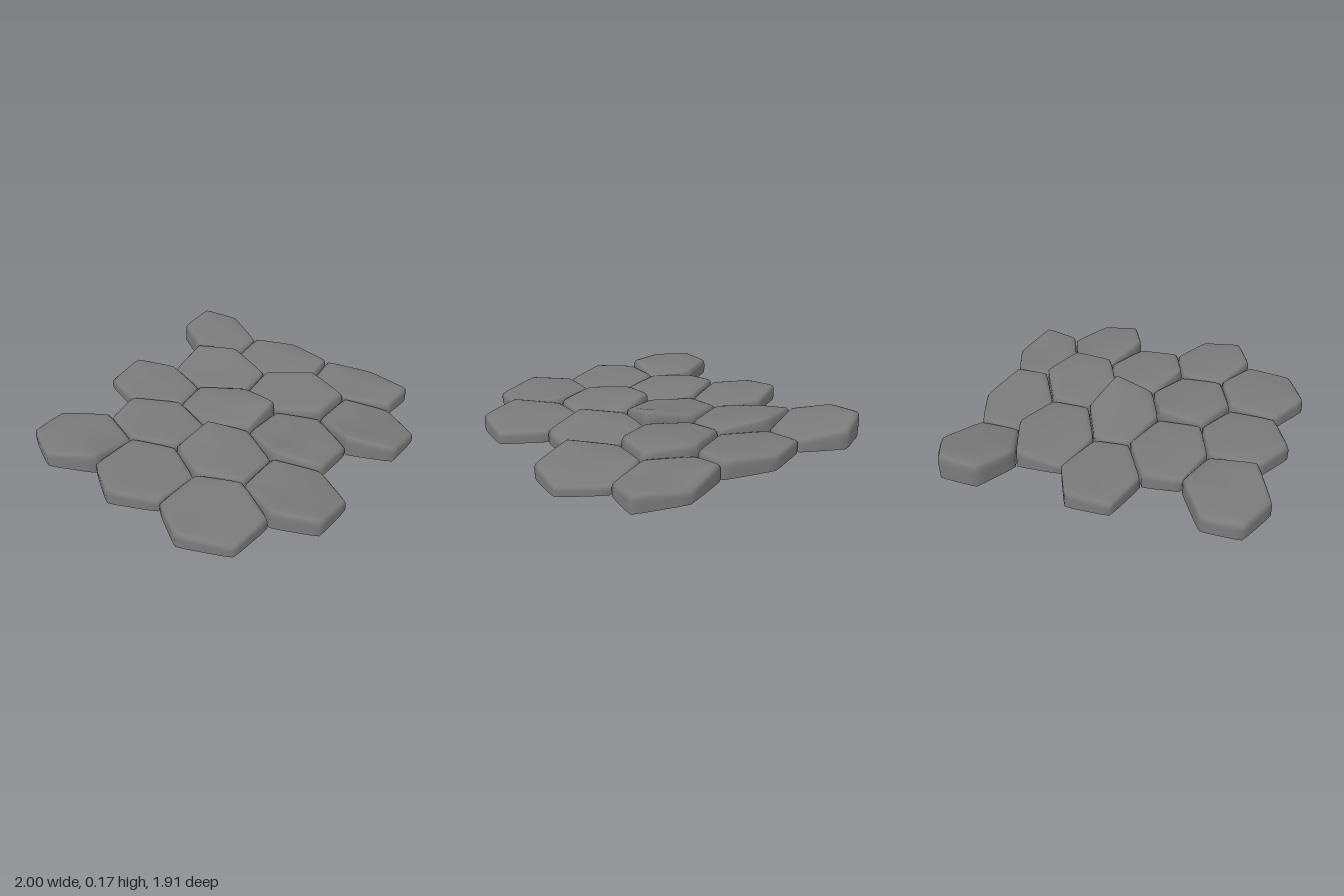
import * as THREE from 'three';

// Zigzag seams [x, z] running back to front; each column of tiles lies between two.
const seams = [
  [[-0.9, -0.87], [-1.007, -0.63], [-0.87, -0.355], [-1.007, -0.12], [-0.87, 0.155], [-1.007, 0.4], [-0.87, 0.69]],
  [[-0.67, -0.88], [-0.495, -0.615], [-0.575, -0.345], [-0.463, -0.087], [-0.58, 0.167], [-0.46, 0.428], [-0.585, 0.705], [-0.465, 0.955]],
  [[-0.195, -0.93], [-0.275, -0.655], [-0.103, -0.373], [-0.187, -0.077], [-0.07, 0.163], [-0.19, 0.427], [-0.075, 0.7], [-0.2, 0.957]],
  [[0.065, -0.945], [0.195, -0.7], [0.11, -0.403], [0.262, -0.117], [0.187, 0.177], [0.32, 0.424], [0.195, 0.703], [0.32, 0.957]],
  [[0.59, -0.96], [0.465, -0.725], [0.577, -0.457], [0.497, -0.143], [0.673, 0.14], [0.587, 0.437], [0.71, 0.7], [0.575, 0.957]],
  [[0.83, -0.96], [0.94, -0.75], [0.825, -0.475], [0.94, -0.21], [0.875, 0.115], [1.007, 0.4], [0.935, 0.715]],
];

// Top heights in hundredths, three tiles per column, corner order:
// back left, back right, right, front right, front left, left.
const heights = [
  [[10, 10, 11, 8, 13.5, 10], [9, 10, 9, 7, 8, 10], [8, 10, 11, 8, 7, 10]],
  [[8, 10, 9, 7, 10, 10], [10, 14, 10, 8, 10, 11], [8, 10, 7, 7, 11, 13]],
  [[7, 11, 8, 7, 7, 8], [7, 8, 11, 18.5, 11, 9], [9, 10, 8, 7, 9, 14]],
  [[5, 12, 14, 10, 9, 8], [8, 11, 14, 13, 13, 11], [8, 10, 5, 6, 10, 14]],
  [[14, 17, 12, 8, 7, 12], [6, 9, 9, 12, 11, 8], [8, 11, 7, 11, 8, 10]],
];

// Shell cross-section: [distance from centre, fraction of height]
const section = [[1, 0], [1, 0.6], [0.987, 0.82], [0.945, 0.95], [0.86, 1.01], [0.65, 1.04], [0.4, 1.055], [0.18, 1.06]];

// Six slightly bowed edges with blunted corners, carrying the height in y
function tileOutline(corners, centre) {
  const points = [];
  const addPoint = (p, inset) => points.push(new THREE.Vector3(
    p.x + (centre.x - p.x) * inset, p.y, p.z + (centre.z - p.z) * inset));
  corners.forEach((p, i) => {
    const next = corners[(i + 1) % 6];
    addPoint(p, 0.026);
    for (const t of [0.2, 0.8]) addPoint(p.clone().lerp(next, t), 0.009);
  });
  return points;
}

function tileGeometry(corners) {
  const centre = corners.reduce((s, p) => s.add(p), new THREE.Vector3()).divideScalar(6);
  const outline = tileOutline(corners, centre), n = outline.length;

  // overall tilt of the top; bumps at the rim fade out towards the middle
  const tilt = (axis) => {
    let up = 0, run = 0;
    for (const p of corners) {
      up += (p[axis] - centre[axis]) * (p.y - centre.y);
      run += (p[axis] - centre[axis]) ** 2;
    }
    return up / run;
  };
  const tiltX = tilt('x'), tiltZ = tilt('z');

  const positions = [], index = [];
  for (const [scale, rise] of section) {
    for (const p of outline) {
      const dx = p.x - centre.x, dz = p.z - centre.z;
      const slope = tiltX * dx + tiltZ * dz;
      const bump = p.y - centre.y - slope;
      const y = centre.y + slope * scale + bump * scale ** 2.5;
      positions.push(centre.x + dx * scale, y * rise, centre.z + dz * scale);
    }
  }
  const last = section.length - 1, tip = n * section.length;
  positions.push(centre.x, centre.y * 1.06, centre.z);
  for (let i = 0; i < n; i++) {
    const j = (i + 1) % n;
    for (let r = 0; r < last; r++) {
      const a = r * n + i, b = r * n + j;
      index.push(a, a + n, b, b, a + n, b + n);
    }
    index.push(last * n + i, tip, last * n + j);
  }
  const geometry = new THREE.BufferGeometry();
  geometry.setAttribute('position', new THREE.Float32BufferAttribute(positions, 3));
  geometry.setIndex(index);
  geometry.computeVertexNormals();
  return geometry;
}

export function createModel() {
  const model = new THREE.Group();
  model.name = 'hexagonalPaving';
  // dark stone; the tiles are open underneath
  const stone = new THREE.MeshStandardMaterial({ color: 0x7a7a7a, side: THREE.DoubleSide });
  heights.forEach((column, c) => {
    const left = seams[c], right = seams[c + 1];
    column.forEach((tops, row) => {
      const k = 2 * row + (c % 2); // odd columns sit half a tile forward
      const ring = [left[k], right[k], right[k + 1], right[k + 2], left[k + 2], left[k + 1]];
      const corners = ring.map(([x, z], i) => new THREE.Vector3(x, tops[i] / 100, z));
      const tile = new THREE.Mesh(tileGeometry(corners), stone);
      tile.name = `pavingTile${c * 3 + row + 1}`;
      model.add(tile);
    });
  });
  return model;
}
